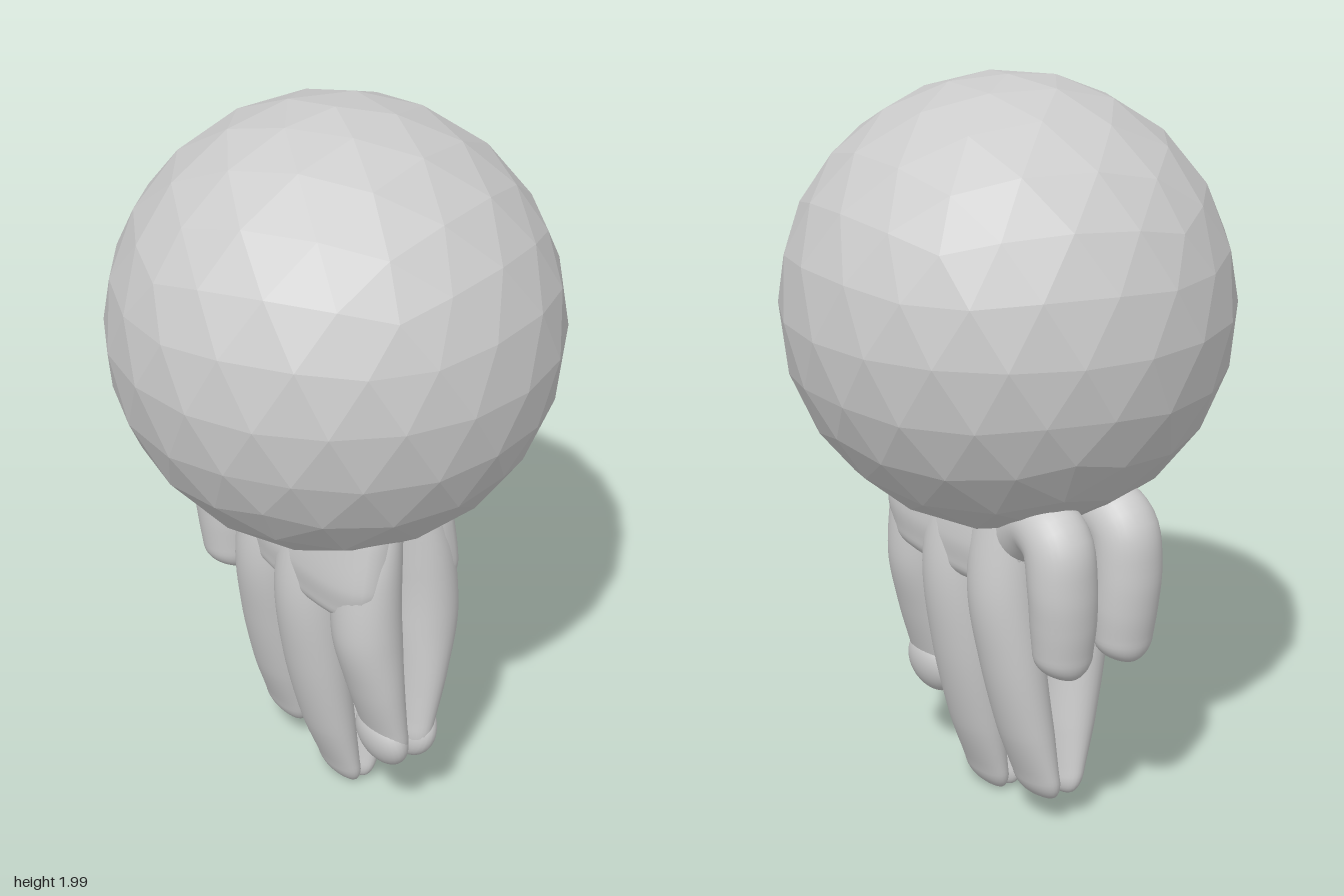
import * as THREE from 'three';

const smooth = new THREE.MeshStandardMaterial({ color: 0xcccccc, side: THREE.DoubleSide });
const faceted = new THREE.MeshStandardMaterial({ color: 0xcccccc, flatShading: true });
const X = new THREE.Vector3(1, 0, 0);

// Loft of oval rings; sections are [x, y, z, half width in x, half depth].
// The far end closes with a rounded cap of the given length.
function limb(name, side, sections, cap, power = 1) {
  const path = new THREE.CatmullRomCurve3(sections.map(s => new THREE.Vector3(side * s[0], s[1], s[2])));
  const size = new THREE.CatmullRomCurve3(sections.map(s => new THREE.Vector3(s[3], s[4], 0)));
  const steps = 28, capSteps = 9, around = 32;
  const pos = [], index = [];
  for (let i = 0; i <= steps + capSteps; i++) {
    const u = Math.min(i / steps, 1);
    const a = Math.max(i - steps, 0) / capSteps * Math.PI / 2;
    const t = path.getTangent(u);
    const n = t.clone().cross(X).normalize();
    const c = path.getPoint(u).addScaledVector(t, cap * Math.sin(a));
    const r = size.getPoint(u);
    const k = Math.max(Math.cos(a), 0);
    for (let j = 0; j < around; j++) {
      const q = j / around * Math.PI * 2;
      const cx = Math.cos(q), sn = Math.sin(q);
      const p = c.clone()
        .addScaledVector(X, r.x * k * Math.sign(cx) * Math.abs(cx) ** power)
        .addScaledVector(n, r.y * Math.sqrt(k) * Math.sign(sn) * Math.abs(sn) ** power);
      pos.push(p.x, p.y, p.z);
      if (i < steps + capSteps) {
        const j2 = (j + 1) % around, b = i * around, d = b + around;
        index.push(b + j, b + j2, d + j, b + j2, d + j2, d + j);
      }
    }
  }
  const geo = new THREE.BufferGeometry();
  geo.setAttribute('position', new THREE.Float32BufferAttribute(pos, 3));
  geo.setIndex(index);
  geo.computeVertexNormals();
  const mesh = new THREE.Mesh(geo, smooth);
  mesh.name = name;
  return mesh;
}

function createHand(side) {
  const hand = new THREE.Group();
  hand.name = side > 0 ? 'leftHand' : 'rightHand';

  // palm, rising into the ball
  hand.add(limb('palm', side, [
    [0.07, 1.12, 0.06, 0.07, 0.28],
    [0.09, 0.95, 0.06, 0.09, 0.3],
    [0.105, 0.82, 0.06, 0.095, 0.3],
    [0.105, 0.74, 0.06, 0.09, 0.28],
  ], 0.06, 0.75));

  // three fingers pressed against the other hand
  hand.add(limb('frontFinger', side, [
    [0.06, 1.0, 0.26, 0.06, 0.1],
    [0.085, 0.82, 0.265, 0.085, 0.105],
    [0.09, 0.65, 0.275, 0.09, 0.1],
    [0.07, 0.48, 0.285, 0.07, 0.095],
    [0.045, 0.34, 0.29, 0.05, 0.088],
  ], 0.1));
  hand.add(limb('middleFinger', side, [
    [0.09, 0.95, 0.06, 0.09, 0.1],
    [0.115, 0.7, 0.058, 0.1, 0.102],
    [0.1, 0.45, 0.055, 0.085, 0.1],
    [0.062, 0.22, 0.057, 0.065, 0.092],
    [0.03, 0.08, 0.06, 0.042, 0.084],
  ], 0.07));
  hand.add(limb('backFinger', side, [
    [0.09, 0.95, -0.13, 0.09, 0.1],
    [0.115, 0.7, -0.14, 0.095, 0.1],
    [0.1, 0.48, -0.158, 0.082, 0.097],
    [0.068, 0.28, -0.172, 0.066, 0.093],
    [0.042, 0.15, -0.183, 0.045, 0.087],
  ], 0.07));

  // rounded end of the front finger
  const tip = new THREE.Mesh(new THREE.SphereGeometry(1, 28, 20), smooth);
  tip.name = 'frontFingertip';
  tip.scale.set(0.054, 0.088, 0.094);
  tip.position.set(side * 0.047, 0.3, 0.288);
  tip.rotation.z = side * -0.25;
  hand.add(tip);

  // thumb arching back and down
  hand.add(limb('thumb', side, [
    [0.09, 0.84, -0.15, 0.08, 0.09],
    [0.1, 0.91, -0.27, 0.085, 0.09],
    [0.105, 0.88, -0.352, 0.09, 0.09],
    [0.105, 0.77, -0.376, 0.092, 0.085],
    [0.1, 0.67, -0.374, 0.088, 0.083],
    [0.098, 0.59, -0.37, 0.08, 0.076],
  ], 0.07));
  return hand;
}

export function createModel() {
  const model = new THREE.Group();
  model.name = 'ballWithHands';

  // faceted ball with a corner at the top
  const geo = new THREE.IcosahedronGeometry(0.59, 3);
  geo.rotateZ(Math.atan(2 / (1 + Math.sqrt(5))));
  const ball = new THREE.Mesh(geo, faceted);
  ball.name = 'ball';
  ball.position.y = 1.41;
  model.add(ball);

  for (const side of [1, -1]) model.add(createHand(side));
  return model;
}
